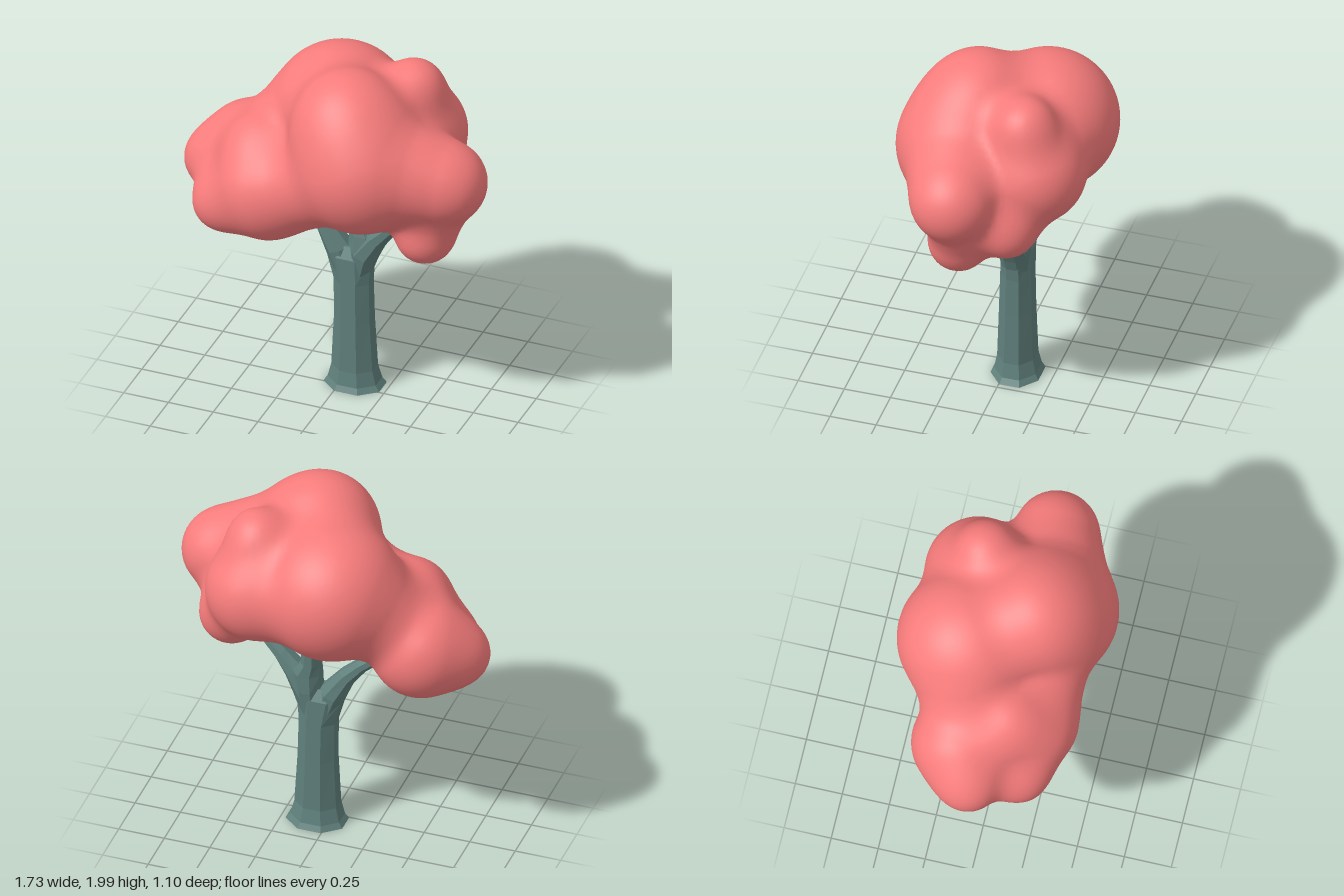
import * as THREE from 'three';

// Foliage lobes: x, y, z, radius
const LOBES = [
  // main crown
  [0.2, 1.5, 0.17, 0.377], [0.11, 1.7, 0.14, 0.293], [-0.06, 1.55, -0.18, 0.374],
  [0.345, 1.775, -0.18, 0.165], [0.33, 1.5, -0.22, 0.28],
  // left side
  [0.64, 1.45, 0.12, 0.222], [0.53, 1.115, 0.12, 0.16], [0.51, 1.25, -0.13, 0.17],
  // right side
  [-0.32, 1.24, 0.17, 0.29], [-0.4, 1.42, 0.1, 0.175], [-0.52, 1.25, -0.1, 0.272],
  [-0.71, 1.2, -0.03, 0.153], [-0.56, 1.11, 0.2, 0.165],
  // fillers in the hollows
  [-0.29, 1.45, -0.14, 0.215], [-0.1, 1.33, 0.19, 0.235],
  [0.47, 1.49, 0.16, 0.22], [0.58, 1.26, 0.1, 0.13],
];
const BLEND = 0.12;

// Distance to the softly merged lobes
function distance(x, y, z) {
  let d = 10;
  for (const [cx, cy, cz, r] of LOBES) {
    const e = Math.hypot(x - cx, y - cy, z - cz) - r;
    const h = Math.max(BLEND - Math.abs(d - e), 0) / BLEND;
    d = Math.min(d, e) - h * h * BLEND / 4;
  }
  return d;
}

function gradient(x, y, z) {
  const e = 0.002;
  return new THREE.Vector3(
    distance(x + e, y, z) - distance(x - e, y, z),
    distance(x, y + e, z) - distance(x, y - e, z),
    distance(x, y, z + e) - distance(x, y, z - e)).normalize();
}

// One smooth skin around the lobes: a vertex per crossed grid cell, a quad per crossed grid edge
function foliageGeometry() {
  const step = 0.03, min = [-0.96, 0.84, -0.66], n = [65, 43, 45];
  const stride = [1, n[0], n[0] * n[1]];
  const field = new Float32Array(n[0] * n[1] * n[2]);
  const eachPoint = (visit) => {
    for (let k = 0; k < n[2]; k++)
      for (let j = 0; j < n[1]; j++)
        for (let i = 0; i < n[0]; i++) visit(i, j, k, i + j * stride[1] + k * stride[2]);
  };
  eachPoint((i, j, k, id) => {
    field[id] = distance(min[0] + i * step, min[1] + j * step, min[2] + k * step);
  });

  const positions = [], normals = [], index = [], cellVertex = new Map();
  eachPoint((i, j, k, id) => {
    if (i === n[0] - 1 || j === n[1] - 1 || k === n[2] - 1) return;
    let inside = 0;
    for (let c = 0; c < 8; c++) {
      const corner = id + (c & 1) + ((c >> 1) & 1) * stride[1] + (c >> 2) * stride[2];
      if (field[corner] < 0) inside++;
    }
    if (inside === 0 || inside === 8) return;
    const p = new THREE.Vector3(i + 0.5, j + 0.5, k + 0.5).multiplyScalar(step)
      .add(new THREE.Vector3(...min));
    for (let t = 0; t < 4; t++) p.addScaledVector(gradient(p.x, p.y, p.z), -distance(p.x, p.y, p.z));
    cellVertex.set(id, positions.length / 3);
    positions.push(p.x, p.y, p.z);
    normals.push(...gradient(p.x, p.y, p.z).toArray());
  });

  eachPoint((i, j, k, id) => {
    for (let a = 0; a < 3; a++) {
      if ([i, j, k][a] === n[a] - 1) continue;
      const inside = field[id] < 0;
      if (inside === field[id + stride[a]] < 0) continue;
      const b = stride[(a + 1) % 3], c = stride[(a + 2) % 3];
      const q = [id, id - b, id - b - c, id - c].map((cell) => cellVertex.get(cell));
      if (!inside) q.reverse();
      index.push(q[0], q[1], q[2], q[0], q[2], q[3]);
    }
  });

  const geometry = new THREE.BufferGeometry();
  geometry.setAttribute('position', new THREE.Float32BufferAttribute(positions, 3));
  geometry.setAttribute('normal', new THREE.Float32BufferAttribute(normals, 3));
  geometry.setIndex(index);
  return geometry;
}

// Closed faceted limb through rings of [x, y, z, width radius, depth radius, lean]
function limbGeometry(rings, sides = 8) {
  const positions = [], index = [];
  for (const [x, y, z, rx, rz, lean = 0] of rings) {
    for (let s = 0; s < sides; s++) {
      const a = ((s + 0.5) / sides) * Math.PI * 2;
      const u = Math.cos(a) * rx;
      positions.push(x + u * Math.cos(lean), y - u * Math.sin(lean), z + Math.sin(a) * rz);
    }
  }
  const last = (rings.length - 1) * sides;
  const bottom = positions.length / 3, top = bottom + 1;
  positions.push(...rings[0].slice(0, 3), ...rings[rings.length - 1].slice(0, 3));
  for (let s = 0; s < sides; s++) {
    const t = (s + 1) % sides;
    for (let r = 0; r < last; r += sides) {
      index.push(r + s, r + sides + s, r + t, r + t, r + sides + s, r + sides + t);
    }
    index.push(bottom, s, t, top, last + t, last + s);
  }
  const geometry = new THREE.BufferGeometry();
  geometry.setAttribute('position', new THREE.Float32BufferAttribute(positions, 3));
  geometry.setIndex(index);
  const faceted = geometry.toNonIndexed();
  faceted.computeVertexNormals();
  return faceted;
}

const LIMBS = {
  trunk: [
    [0.067, 0, -0.057, 0.168, 0.14], [0.066, 0.03, -0.057, 0.145, 0.122],
    [0.065, 0.11, -0.055, 0.124, 0.105], [0.064, 0.4, -0.054, 0.108, 0.096],
    [0.06, 0.63, -0.054, 0.106, 0.09], [0.045, 0.78, -0.054, 0.135, 0.085],
    [0.05, 0.84, -0.054, 0.1, 0.05],
  ],
  leftBranch: [
    [0.09, 0.66, -0.054, 0.06, 0.07, 0.2], [0.12, 0.8, -0.05, 0.08, 0.083, 0.4],
    [0.195, 0.91, -0.045, 0.06, 0.07, 0.7], [0.27, 0.99, -0.035, 0.044, 0.058, 0.85],
    [0.36, 1.07, -0.02, 0.034, 0.048, 0.8], [0.44, 1.17, -0.01, 0.03, 0.04, 0.7],
  ],
  middleBranch: [
    [0.09, 0.66, -0.056, 0.06, 0.07], [0.11, 0.82, -0.058, 0.075, 0.085],
    [0.117, 0.92, -0.065, 0.082, 0.075], [0.093, 0.99, -0.075, 0.056, 0.064],
    [0.087, 1.12, -0.085, 0.049, 0.055], [0.085, 1.28, -0.085, 0.045, 0.05],
  ],
  rightBranch: [
    [0.04, 0.64, -0.054, 0.07, 0.07, -0.2], [-0.02, 0.81, -0.054, 0.075, 0.08, -0.4],
    [-0.1, 0.935, -0.054, 0.05, 0.06, -0.65], [-0.18, 1.02, -0.054, 0.038, 0.048, -0.85],
    [-0.27, 1.09, -0.054, 0.032, 0.04, -0.9],
  ],
};

export function createModel() {
  const tree = new THREE.Group();
  tree.name = 'tree';
  const bark = new THREE.MeshStandardMaterial({ color: 0x5f7f7b, flatShading: true });
  const leaves = new THREE.MeshStandardMaterial({ color: 0xf87c7c });

  // Trunk and its three branches
  for (const [name, rings] of Object.entries(LIMBS)) {
    const limb = new THREE.Mesh(limbGeometry(rings), bark);
    limb.name = name;
    tree.add(limb);
  }

  // Crown of merged round lobes
  const foliage = new THREE.Mesh(foliageGeometry(), leaves);
  foliage.name = 'foliage';
  tree.add(foliage);
  return tree;
}
